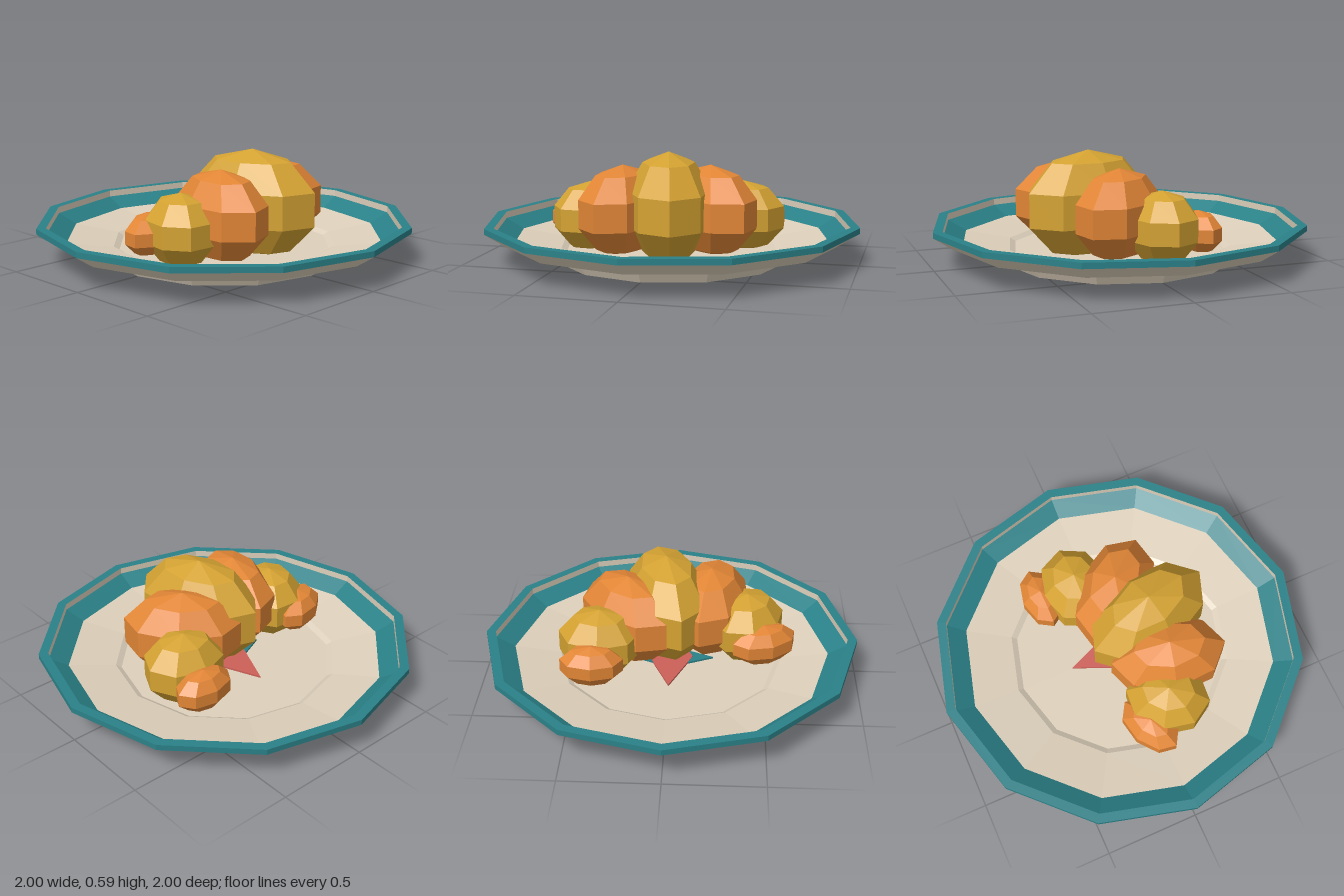
import * as THREE from 'three';

const mat = (color) => new THREE.MeshStandardMaterial({ color, flatShading: true });
const cream = mat(0xddd0bb);
const teal = mat(0x2a8188);
const gold = mat(0xd4a232);
const orange = mat(0xe28636);
const pink = mat(0xcc6058);

// Twelve-sided surface of revolution; profile runs bottom to top on the outside
function ring(name, material, profile) {
  const points = profile.map(([r, y]) => new THREE.Vector2(r, y));
  const mesh = new THREE.Mesh(new THREE.LatheGeometry(points, 12), material);
  mesh.name = name;
  return mesh;
}

// Faceted ellipsoid, longest along its own z, then turned about y
function lobe(name, material, [x, y, z], [width, height, length], degrees) {
  const geometry = new THREE.SphereGeometry(1, 8, 5);
  geometry.scale(width / 0.951, height, length / 0.951);
  const mesh = new THREE.Mesh(geometry, material);
  mesh.name = name;
  mesh.position.set(x, y, z);
  mesh.rotation.y = THREE.MathUtils.degToRad(degrees);
  return mesh;
}

// Thin flat diamond painted on the plate floor
function diamond(name, material, halfX, halfZ, y) {
  const shape = new THREE.Shape([[halfX, 0], [0, halfZ], [-halfX, 0], [0, -halfZ]]
    .map(([a, b]) => new THREE.Vector2(a, b)));
  const geometry = new THREE.ExtrudeGeometry(shape, { depth: 0.01, bevelEnabled: false });
  geometry.rotateX(-Math.PI / 2);
  const mesh = new THREE.Mesh(geometry, material);
  mesh.name = name;
  mesh.position.y = y;
  return mesh;
}

export function createModel() {
  const model = new THREE.Group();
  model.name = 'pastryOnPlate';

  // Plate: foot and underside, coloured rim, inner wall and floor
  const plate = new THREE.Group();
  plate.name = 'plate';
  plate.add(
    ring('plateUnderside', cream, [[0, 0], [0.62, 0], [0.66, 0.07], [0.9, 0.105], [1, 0.17]]),
    ring('plateRim', teal, [[1, 0.17], [1, 0.2], [0.95, 0.2]]),
    ring('rimInnerEdge', cream, [[0.95, 0.2], [0.95, 0.165]]),
    ring('plateInnerBand', teal, [[0.95, 0.165], [0.85, 0.11]]),
    ring('plateFloor', cream, [[0.85, 0.11], [0.6, 0.078], [0.57, 0.06], [0, 0.06]]),
    diamond('floorPatternLong', pink, 0.12, 0.28, 0.062),
    diamond('floorPatternWide', teal, 0.23, 0.1, 0.06),
  );
  model.add(plate);

  // Crescent pastry: lobes shrink towards both tips
  const pastry = new THREE.Group();
  pastry.name = 'crescentPastry';
  pastry.add(
    lobe('middleLobe', gold, [0.03, 0.3, 0.18], [0.22, 0.29, 0.36], 15),
    lobe('leftInnerLobe', orange, [0.23, 0.275, 0.08], [0.2, 0.24, 0.31], 45),
    lobe('rightInnerLobe', orange, [-0.215, 0.275, 0.19], [0.2, 0.24, 0.307], -12),
    lobe('leftOuterLobe', gold, [0.37, 0.222, -0.1], [0.185, 0.19, 0.22], 90),
    lobe('rightOuterLobe', gold, [-0.41, 0.222, 0.1], [0.185, 0.19, 0.222], -31),
    lobe('leftTip', orange, [0.4, 0.193, -0.29], [0.105, 0.11, 0.165], 92),
    lobe('rightTip', orange, [-0.5, 0.193, -0.04], [0.11, 0.11, 0.18], -65),
  );
  model.add(pastry);
  return model;
}
